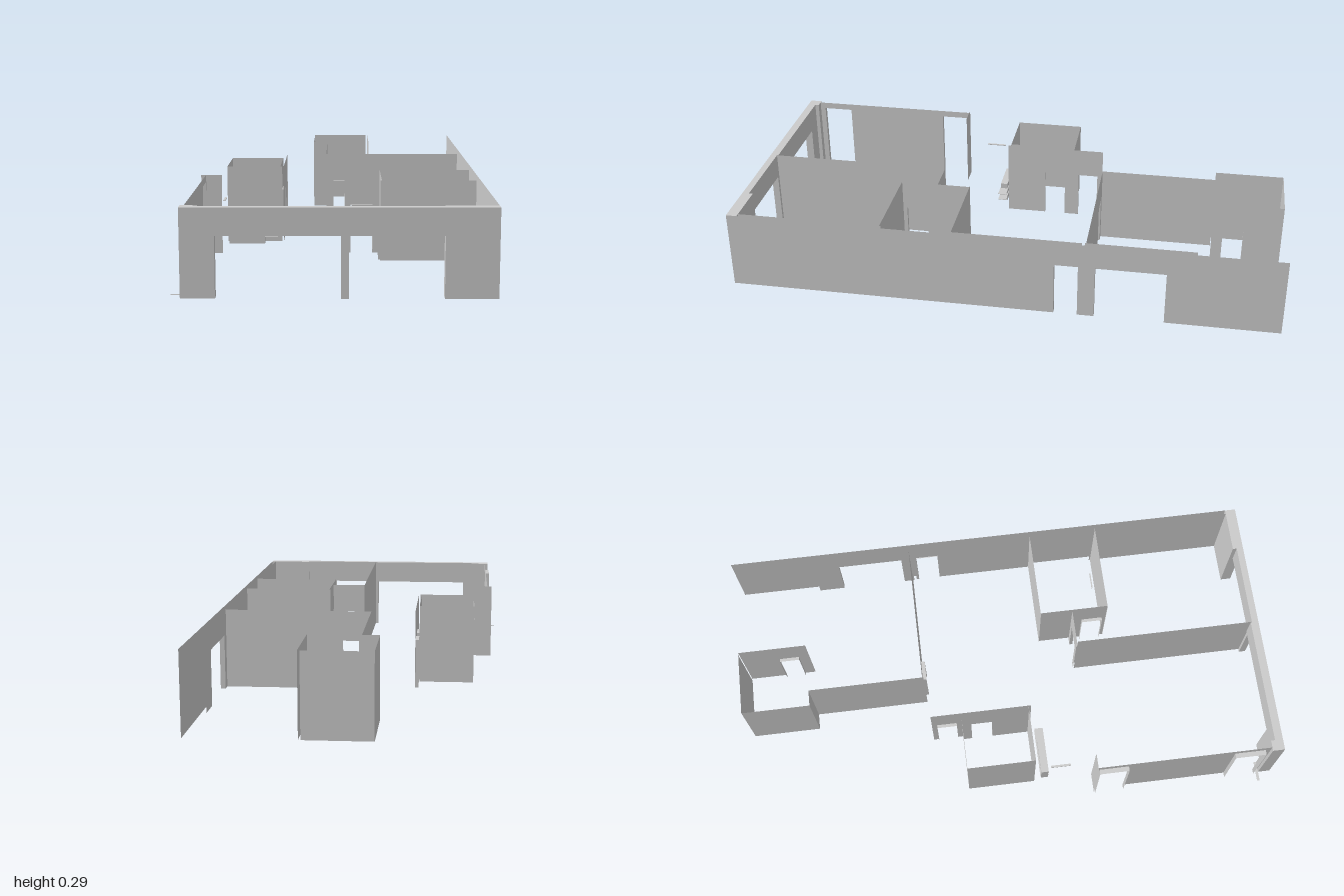
import * as THREE from 'three';

const H = 0.29, DOOR = 0.18, WIDE = 0.2;
const material = new THREE.MeshStandardMaterial({ color: 0xcccccc, side: THREE.DoubleSide, flatShading: true });

export function createModel() {
  const model = new THREE.Group();

  const add = (parent, name, geometry) => {
    const mesh = new THREE.Mesh(geometry, material);
    mesh.name = name;
    parent.add(mesh);
    return mesh;
  };

  // Upright sheet with openings notched into its foot
  const sheetGeometry = (from, to, openings) => {
    const s = new THREE.Shape();
    s.moveTo(from, 0);
    for (const [a, b, h] of openings) {
      s.lineTo(a, 0); s.lineTo(a, h); s.lineTo(b, h); s.lineTo(b, 0);
    }
    s.lineTo(to, 0); s.lineTo(to, H); s.lineTo(from, H);
    return new THREE.ShapeGeometry(s);
  };

  // Jambs and soffit lining one opening
  const revealGeometry = ([a, b, h], depth) => {
    const path = [[a, 0], [a, h], [b, h], [b, 0]];
    const pos = [];
    for (let i = 0; i < 3; i++) {
      const [x0, y0] = path[i], [x1, y1] = path[i + 1];
      pos.push(x0, y0, 0, x1, y1, 0, x1, y1, depth, x0, y0, 0, x1, y1, depth, x0, y0, depth);
    }
    const g = new THREE.BufferGeometry();
    g.setAttribute('position', new THREE.Float32BufferAttribute(pos, 3));
    g.computeVertexNormals();
    return g;
  };

  // Wall running along 'x' or 'z'; depth is the thickness of the linings
  const wall = (name, axis, at, from, to, openings = [], depth = 0) => {
    const g = new THREE.Group();
    g.name = name;
    add(g, name + 'Sheet', sheetGeometry(from, to, openings));
    if (depth) for (const o of openings) add(g, name + 'DoorLining', revealGeometry(o, depth));
    if (axis === 'z') {
      g.rotation.y = -Math.PI / 2;
      g.position.x = at;
    } else {
      g.position.z = at;
    }
    model.add(g);
  };

  const box = (name, x0, x1, y0, y1, z0, z1) => {
    add(model, name, new THREE.BoxGeometry(x1 - x0, y1 - y0, z1 - z0))
      .position.set((x0 + x1) / 2, (y0 + y1) / 2, (z0 + z1) / 2);
  };

  // Front wall: piers and the long lintel over two wide openings
  box('frontLeftHandLintel', -0.48, 0.035, WIDE, H, 0.97, 1);
  box('frontRightHandLintel', 0.035, 0.35, WIDE, H, 0.975, 1);
  box('frontOuterPier', -0.48, -0.37, 0, H, 0.97, 1);
  box('frontOuterPierReturn', -0.48, -0.44, 0, H, 0.955, 0.97);
  box('frontMiddlePier', 0.025, 0.05, 0, H, 0.975, 1);
  box('frontCornerPier', 0.35, 0.52, 0, H, 0.96, 1);

  // Long side wall, outer sheet and inner room faces
  const sideDoor = [-0.28, -0.195, WIDE], sideOpening = [-0.59, -0.34, WIDE];
  wall('longWall', 'z', 0.52, -1, 1, [sideOpening, sideDoor], 0.018);
  wall('longWallBackRoomFace', 'z', 0.502, -0.69, -0.3, [sideOpening]);
  wall('longWallMiddleFace', 'z', 0.505, -0.29, 0.175, [sideDoor]);
  wall('longWallFrontRoomFace', 'z', 0.505, 0.43, 0.96);

  // Back room and back hall
  wall('backRoomFrontWall', 'x', -0.305, -0.035, 0.505, [[-0.005, 0.07, DOOR]], 0.014);
  wall('backRoomSideWall', 'z', -0.035, -0.735, -0.3);
  wall('rearReturnWall', 'x', -0.735, -0.095, -0.035);
  wall('rearOuterWall', 'z', -0.095, -0.99, -0.735);
  wall('rearEndWall', 'x', -0.99, -0.095, 0.14);
  wall('rearDoorWall', 'z', 0.148, -0.99, -0.735, [[-0.85, -0.775, DOOR]], 0.012);

  // Middle room beside the long wall
  const midDoor = [0.34, 0.42, DOOR];
  wall('middleRoomBackWall', 'x', 0.175, 0.165, 0.505);
  wall('middleRoomFrontWall', 'x', 0.435, 0.165, 0.505);
  wall('middleRoomDoorWall', 'z', 0.17, 0.175, 0.435, [midDoor], 0.012);

  // Partition and passage between the front rooms
  wall('partitionWall', 'z', 0.037, 0.3, 0.975);
  wall('passageWall', 'x', 0.297, 0.037, 0.165, [[0.06, 0.14, DOOR]], 0.012);

  // Small closed room on the other side
  const d1 = [-0.27, -0.195, DOOR], d2 = [-0.14, -0.06, DOOR];
  wall('smallRoomOuterWall', 'z', -0.41, -0.175, 0.08);
  wall('smallRoomBackWall', 'x', -0.175, -0.41, -0.207);
  wall('smallRoomFrontWall', 'x', 0.08, -0.41, -0.2);
  wall('smallRoomInnerFace', 'z', -0.207, -0.175, 0.08, [d2]);
  wall('smallRoomDoorWall', 'z', -0.195, -0.29, 0.09, [d1, d2], 0.012);

  // Opposite side wall with a tall opening at each end
  wall('shortSideWall', 'z', -0.467, 0.305, 0.955, [[0.31, 0.42, 0.265], [0.82, 0.935, 0.265]], 0.018);
  wall('shortSideReturn', 'x', 0.305, -0.485, -0.41);

  // Low cabinet with open shelves
  box('cabinet', -0.4, -0.265, 0, 0.075, 0.108, 0.135);
  for (const y of [0.028, 0.053]) box('shelf', -0.4, -0.215, y - 0.001, y + 0.001, 0.105, 0.138);

  // Loose thin strips: window head and thresholds
  box('windowHead', -0.415, -0.407, 0.178, 0.181, 0.14, 0.215);
  box('innerSill', 0.36, 0.425, 0.036, 0.038, 0.418, 0.423);
  box('cornerThreshold', -0.515, -0.44, 0, 0.002, 0.945, 0.955);

  return model;
}
